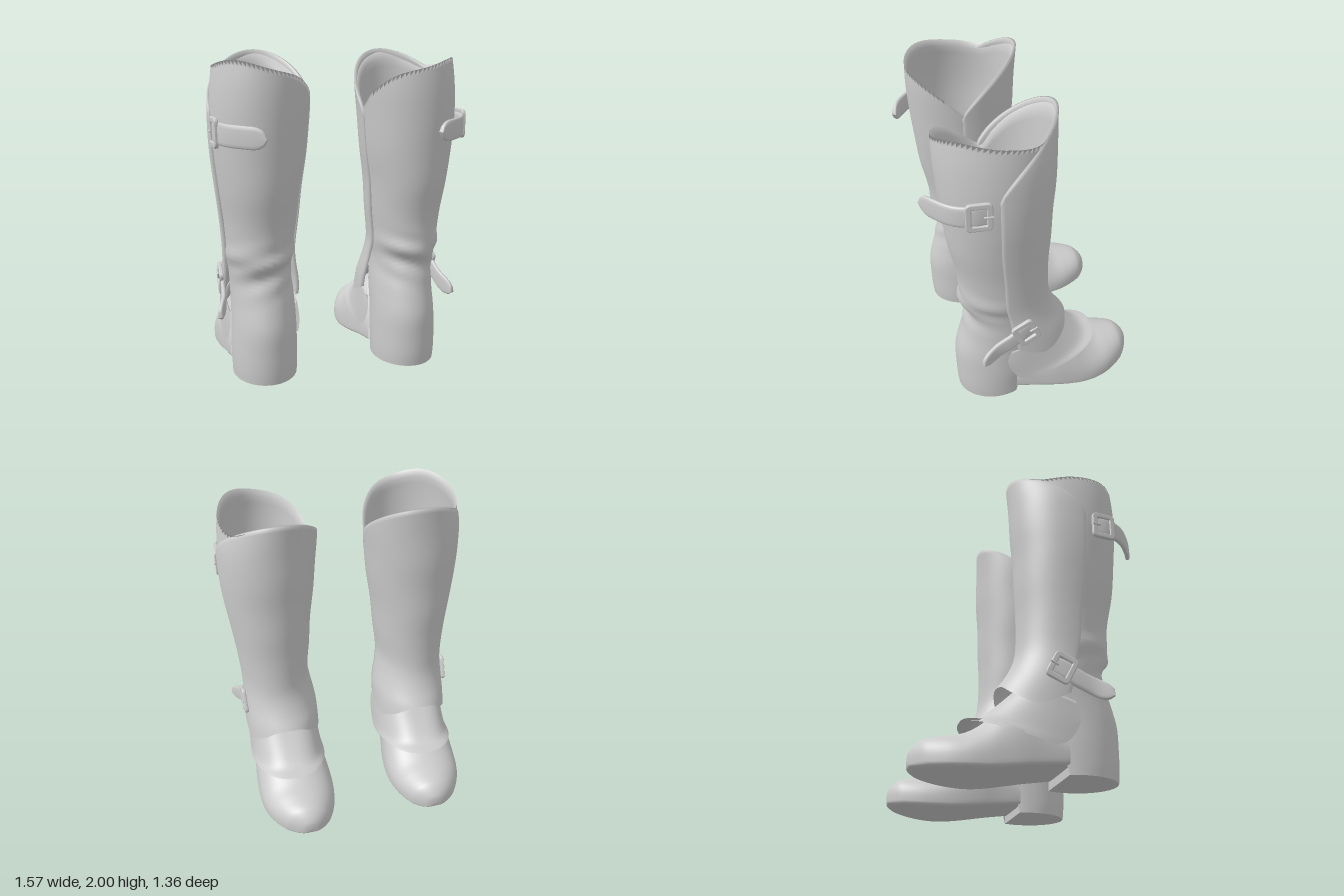
import * as THREE from 'three';
import { mergeVertices } from 'three/addons/utils/BufferGeometryUtils.js';

const V = (x, y, z) => new THREE.Vector3(x, y, z);
const spow = (c, p) => Math.sign(c) * Math.pow(Math.abs(c), p);
const D = Math.PI / 180;

// Smooth interpolation of table rows [t, a, b, ...]
function sample(rows, t) {
  const n = rows.length;
  t = Math.min(Math.max(t, rows[0][0]), rows[n - 1][0]);
  let i = 0;
  while (i < n - 2 && t > rows[i + 1][0]) i++;
  const p = rows[Math.max(i - 1, 0)], a = rows[i], b = rows[i + 1], q = rows[Math.min(i + 2, n - 1)];
  const dt = b[0] - a[0], s = (t - a[0]) / dt, s2 = s * s, s3 = s2 * s;
  return a.slice(1).map((av, k) => {
    const j = k + 1, bv = b[j];
    const ma = (bv - p[j]) / (b[0] - p[0]) * dt, mb = (q[j] - av) / (q[0] - a[0]) * dt;
    return (2 * s3 - 3 * s2 + 1) * av + (s3 - 2 * s2 + s) * ma + (3 * s2 - 2 * s3) * bv + (s3 - s2) * mb;
  });
}

// Surface from f(u, v), welded so that closed seams are smooth
function grid(f, nu, nv) {
  const pos = [], idx = [];
  for (let j = 0; j <= nv; j++) for (let i = 0; i <= nu; i++) pos.push(...f(i / nu, j / nv));
  for (let j = 0; j < nv; j++) for (let i = 0; i < nu; i++) {
    const a = j * (nu + 1) + i, b = a + 1, c = a + nu + 1, d = c + 1;
    idx.push(a, b, d, a, d, c);
  }
  let g = new THREE.BufferGeometry();
  g.setAttribute('position', new THREE.Float32BufferAttribute(pos, 3));
  g.setIndex(idx);
  g = mergeVertices(g, 1e-5);
  g.computeVertexNormals();
  return g;
}

// Horizontal rings: y, centre x, half width, front z, back z
const SHAFT = [
  [0.015, 0.468, 0.2, 0.02, 0.505], [0.08, 0.468, 0.203, 0.02, 0.512], [0.2, 0.468, 0.204, 0, 0.516],
  [0.35, 0.466, 0.2, -0.02, 0.515], [0.5, 0.466, 0.196, -0.06, 0.48], [0.62, 0.472, 0.192, -0.06, 0.45],
  [0.7, 0.478, 0.194, -0.06, 0.445], [0.78, 0.48, 0.21, -0.06, 0.485], [0.86, 0.478, 0.212, -0.06, 0.477],
  [1, 0.475, 0.225, -0.055, 0.49], [1.2, 0.478, 0.248, -0.065, 0.53], [1.4, 0.473, 0.275, -0.07, 0.552],
  [1.6, 0.47, 0.291, -0.09, 0.57], [1.8, 0.458, 0.294, -0.098, 0.58], [1.99, 0.446, 0.281, -0.108, 0.575]];
const GUARD = [
  [0.35, 0.463, 0.248, -0.26, 0.45], [0.45, 0.463, 0.246, -0.235, 0.46], [0.53, 0.463, 0.244, -0.2, 0.47],
  [0.6, 0.466, 0.238, -0.15, 0.46], [0.7, 0.472, 0.226, -0.1, 0.45], [0.8, 0.478, 0.222, -0.08, 0.47],
  [1, 0.475, 0.24, -0.075, 0.49], [1.2, 0.478, 0.26, -0.085, 0.53], [1.4, 0.475, 0.285, -0.09, 0.55],
  [1.6, 0.47, 0.298, -0.105, 0.57], [1.8, 0.455, 0.302, -0.11, 0.58], [2, 0.425, 0.27, -0.12, 0.58]];
// Foot sections: z, centre x, half width, bottom y, top y
const FOOT = [
  [-0.68, 0.43, 0.001, 0.088, 0.09], [-0.677, 0.43, 0.035, 0.055, 0.12], [-0.667, 0.43, 0.065, 0.04, 0.145],
  [-0.64, 0.432, 0.107, 0.028, 0.178], [-0.6, 0.436, 0.15, 0.018, 0.205], [-0.5, 0.445, 0.208, 0.006, 0.222],
  [-0.4, 0.45, 0.24, 0, 0.24], [-0.3, 0.452, 0.252, 0, 0.3], [-0.2, 0.455, 0.25, 0.01, 0.4],
  [-0.1, 0.46, 0.24, 0.025, 0.48], [0, 0.465, 0.222, 0.04, 0.45], [0.16, 0.468, 0.2, 0.06, 0.3]];
// Rim heights by angle: 0 outer side, 90 toe side, 180 inner side, 270 back
const RIM = [[0, 1.925], [35, 1.9], [60, 1.95], [90, 1.98], [120, 1.94], [150, 1.84], [170, 1.73],
  [182, 1.655], [205, 1.76], [235, 1.86], [270, 1.91], [315, 1.96], [360, 1.925]];
const HEM = [[-8, 0.46], [0, 0.43], [20, 0.385], [45, 0.445], [70, 0.515], [90, 0.53]];

function ringPoint(table, deg, y, off) {
  const [cx, rx, zf, zb] = sample(table, y), a = deg * D;
  return [cx + (rx + off) * Math.cos(a), y, (zf + zb) / 2 - ((zb - zf) / 2 + off) * Math.sin(a)];
}

// Leg down to the heel, with creases at the ankle, turned over the rim into a lining
function shaft() {
  return grid((u, v) => {
    const deg = u * 360, top = sample(RIM, deg)[0], lining = v > 0.72;
    const low = Math.sin(deg * D) > 0.43 ? 0.08 : 0.015;
    const y = lining ? top + (0.72 - top) * (v - 0.72) / 0.28 : low + (top - low) * v / 0.72;
    const crease = Math.max(0, -Math.sin(deg * D)) * Math.exp(-(((y - 0.72) / 0.13) ** 2));
    const wave = 0.013 * crease * Math.sin(3 * deg * D + y * 42);
    return ringPoint(SHAFT, deg, y, lining ? -0.018 : wave);
  }, 72, 100);
}

// Shin guard: a thick sheet wrapped round the front, flared over the instep
function guard() {
  return grid((u, v) => {
    const s = Math.min(Math.max((u * 50 - 1) / 48, 0), 1), edge = u < 0.01 || u > 0.99;
    const deg = -8 + 196 * s;
    const top = 1.63 + 0.37 * Math.pow(Math.max(Math.sin(Math.PI * s), 0), 0.75);
    const low = sample(HEM, deg > 90 ? 180 - deg : deg)[0];
    const inside = v > 0.5, k = inside ? 2 * (1 - v) + 0.02 : 2 * v;
    return ringPoint(GUARD, deg, low + (top - low) * Math.min(k, 1), inside || edge ? -0.014 : 0.004);
  }, 50, 100);
}

function foot() {
  return grid((u, v) => {
    const z = -0.68 + 0.84 * Math.pow(v, 1.9), a = u * 2 * Math.PI;
    const [cx, w, y0, h] = sample(FOOT, z), yb = y0 + Math.min(0.05, (h - y0) * 0.3);
    const c = Math.cos(a), s = Math.sin(a), up = s >= 0;
    return [cx + w * spow(c, up ? 0.95 : 0.35), up ? yb + (h - yb) * Math.pow(s, 0.9) : yb - (yb - y0) * Math.pow(-s, 0.4), z];
  }, 56, 52);
}

// Instep flap: arches from the side of the ankle over the foot
const APEX = [[0, -0.41, 0.312], [0.3, -0.33, 0.325], [0.6, -0.24, 0.39], [1, -0.1, 0.52]];
const BASE = [[0, 0.08, 0.16], [0.3, 0.16, 0.2], [0.6, 0.22, 0.31], [1, 0.2, 0.42]];
function flap() {
  return grid((u, v) => {
    const inside = v > 0.5, k = inside ? 2 * (1 - v) : 2 * v, a = u * Math.PI;
    const [az, ay] = sample(APEX, k), [bz, by] = sample(BASE, k), s = Math.sin(a);
    const w = 0.247 + 0.018 * Math.abs(Math.sin(2 * a)) - 0.025 * k - (inside ? 0.015 : 0);
    return [0.458 + w * spow(Math.cos(a), 0.7 - 0.1 * k), by + (ay - by) * s - (inside ? 0.015 * s : 0), bz + (az - bz) * s];
  }, 56, 32);
}

// Heel block, straight across the front
function heel() {
  const s = new THREE.Shape();
  s.absellipse(0.468, 0.2625, 0.1985, 0.2405, -25 * D, 205 * D);
  s.closePath();
  return new THREE.ExtrudeGeometry(s, { depth: 0.07, bevelEnabled: false, curveSegments: 32 })
    .rotateX(Math.PI / 2).translate(0, 0.083, 0);
}

// Flat strap along a path, with a rounded free end
function strap(points, half) {
  const path = new THREE.CatmullRomCurve3(points.map(p => V(...p)));
  return grid((u, v) => {
    const p = path.getPoint(v), tan = path.getTangent(v);
    const n = V(0, 1, 0).cross(tan).normalize(), up = tan.clone().cross(n).normalize();
    const e = Math.max(0, (v - 0.82) / 0.18), w = half * Math.sqrt(Math.max(1 - e * e, 0.0001));
    const a = u * 2 * Math.PI;
    p.addScaledVector(up, w * spow(Math.sin(a), 0.5)).addScaledVector(n, 0.015 * spow(Math.cos(a), 0.7));
    return [p.x, p.y, p.z];
  }, 16, 32);
}

function roundRect(path, w, h, r) {
  path.moveTo(w, h - r);
  [[w, h, w - r, h, r - w, h], [-w, h, -w, h - r, -w, r - h], [-w, -h, r - w, -h, w - r, -h], [w, -h, w, r - h, w, h - r]]
    .forEach(c => { path.quadraticCurveTo(c[0], c[1], c[2], c[3]); path.lineTo(c[4], c[5]); });
  return path;
}

export function createModel() {
  const model = new THREE.Group();
  const material = new THREE.MeshStandardMaterial({ color: 0xcccccc, side: THREE.DoubleSide });

  for (const side of [1, -1]) {
    const boot = new THREE.Group();
    boot.name = side > 0 ? 'leftBoot' : 'rightBoot';
    // Mirrored parts get their triangles turned round
    const add = (name, g) => {
      if (side < 0) {
        if (!g.index) g = mergeVertices(g);
        g.scale(-1, 1, 1);
        const ix = g.index.array;
        for (let i = 0; i < ix.length; i += 3) [ix[i], ix[i + 1]] = [ix[i + 1], ix[i]];
      }
      const mesh = new THREE.Mesh(g, material);
      mesh.name = name;
      boot.add(mesh);
    };
    // Buckle frame and prong on the outer side
    const buckle = (name, x, y, z, tilt, turn, size) => {
      const frame = roundRect(new THREE.Shape(), 0.068 * size, 0.08 * size, 0.025);
      frame.holes.push(roundRect(new THREE.Path(), 0.048 * size, 0.06 * size, 0.012));
      const place = g => g.rotateZ(tilt).rotateY(Math.PI / 2 + turn).translate(x, y, z);
      add(name + 'Frame', place(new THREE.ExtrudeGeometry(frame, {
        depth: 0.01, bevelEnabled: true, bevelSize: 0.007, bevelThickness: 0.007, bevelSegments: 3, curveSegments: 5 })));
      add(name + 'Prong', place(new THREE.CylinderGeometry(0.007, 0.007, 0.05, 10).rotateZ(Math.PI / 2).translate(0.05, 0, 0.016)));
    };

    add('shaft', shaft());
    add('shinGuard', guard());
    add('foot', foot());
    add('instepFlap', flap());
    add('heel', heel());
    add('upperStrap', strap([[0.75, 1.56, 0.335], [0.75, 1.56, 0.42], [0.708, 1.555, 0.52], [0.615, 1.55, 0.605], [0.51, 1.545, 0.668]], 0.064));
    buckle('upperBuckle', 0.756, 1.56, 0.395, 0, -0.08, 1);
    add('lowerStrap', strap([[0.69, 0.625, 0.065], [0.703, 0.595, 0.13], [0.71, 0.55, 0.2], [0.722, 0.5, 0.3], [0.762, 0.445, 0.4]], 0.052));
    buckle('lowerBuckle', 0.707, 0.6, 0.115, 27 * D, 0.05, 0.98);
    model.add(boot);
  }
  return model;
}
